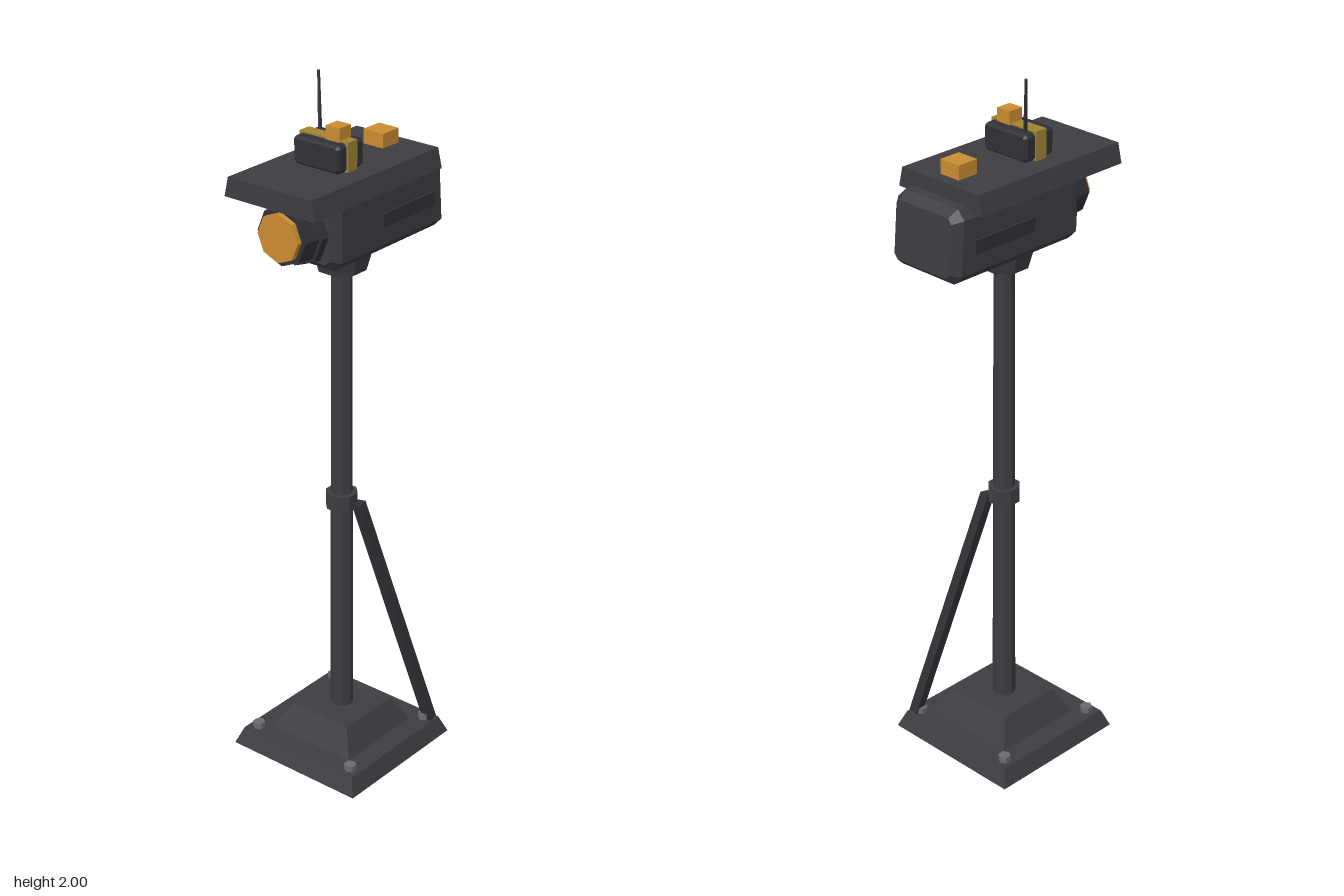
import * as THREE from 'three';

const mat = (name, color) => {
  const m = new THREE.MeshStandardMaterial({ color });
  m.name = name;
  return m;
};

export function createModel() {
  const group = new THREE.Group();
  const grey = mat('dark grey metal', 0x3d3c42);
  const dark = mat('charcoal', 0x303136);
  const steel = mat('bolt steel', 0x6a6a6d);
  const orange = mat('orange', 0xcb8c32);
  const olive = mat('olive strap', 0xa08433);
  const Z = 0.01; // mast axis

  // Adds a mesh with faceted normals
  const add = (name, geo, material, x = 0, y = 0, z = 0) => {
    const g = geo.index ? geo.toNonIndexed() : geo;
    g.computeVertexNormals();
    const mesh = new THREE.Mesh(g, material);
    mesh.name = name;
    mesh.position.set(x, y, z);
    group.add(mesh);
    return mesh;
  };
  // Upright prism between two heights
  const prism = (name, rTop, rBot, y0, y1, sides, material, turn = 0, x = 0, z = Z) =>
    add(name, new THREE.CylinderGeometry(rTop, rBot, y1 - y0, sides).rotateY(turn), material, x, (y0 + y1) / 2, z);
  // Box from its minimum and maximum corners
  const box = (name, a, b, material) =>
    add(name, new THREE.BoxGeometry(b[0] - a[0], b[1] - a[1], b[2] - a[2]), material,
      (a[0] + b[0]) / 2, (a[1] + b[1]) / 2, (a[2] + b[2]) / 2);
  // Straight rod between two points
  const rod = (name, a, b, r0, r1, sides, material) => {
    const p = new THREE.Vector3(...a), q = new THREE.Vector3(...b);
    const d = q.clone().sub(p);
    const mesh = add(name, new THREE.CylinderGeometry(r1, r0, d.length(), sides).rotateY(Math.PI / 4), material);
    mesh.position.copy(p).add(q).multiplyScalar(0.5);
    mesh.quaternion.setFromUnitVectors(new THREE.Vector3(0, 1, 0), d.normalize());
    return mesh;
  };
  // Box with all edges chamfered, centred on the origin
  const chamferBox = (w, h, d, c) => {
    const x = w / 2, y = h / 2;
    const s = new THREE.Shape([[x - c, -y], [x, -y + c], [x, y - c], [x - c, y],
      [-x + c, y], [-x, y - c], [-x, -y + c], [-x + c, -y]].map(p => new THREE.Vector2(...p)));
    return new THREE.ExtrudeGeometry(s, {
      depth: d - 2 * c, bevelThickness: c, bevelSize: c * 0.8, bevelOffset: -c * 0.8, bevelSegments: 1,
    }).translate(0, 0, -d / 2 + c);
  };

  // Stepped square base with corner bolts
  const q = Math.SQRT2;
  prism('basePlate', 0.2 * q, 0.22 * q, 0, 0.05, 4, grey, Math.PI / 4);
  prism('basePlinth', 0.1 * q, 0.14 * q, 0.05, 0.125, 4, grey, Math.PI / 4);
  for (const sx of [-1, 1]) for (const sz of [-1, 1])
    prism('baseBolt', 0.018, 0.018, 0.05, 0.068, 6, steel, 0, sx * 0.17, Z + sz * 0.17);

  // Mast, clamp collar and diagonal brace
  prism('mast', 0.028, 0.033, 0.12, 1.49, 8, grey);
  prism('mastCollar', 0.046, 0.046, 0.765, 0.81, 8, grey, Math.PI / 8);
  rod('brace', [0.183, 0.05, -0.17], [0.04, 0.775, -0.015], 0.02, 0.02, 4, dark);
  prism('neck', 0.088, 0.068, 1.475, 1.545, 8, grey, Math.PI / 8);

  // Chamfered housing with a raked rear face
  const housing = chamferBox(0.24, 0.2, 0.47, 0.025);
  const pos = housing.attributes.position;
  for (let i = 0; i < pos.count; i++)
    if (pos.getZ(i) < 0) pos.setZ(i, pos.getZ(i) + (pos.getY(i) + 0.1) * 0.08);
  add('housing', housing, grey, 0, 1.635, -0.055);
  for (const s of [-1, 1])
    add('sidePanel', new THREE.BoxGeometry(0.016, 0.038, 0.215), dark, s * 0.12, 1.631, -0.112);

  // Lens barrel and lens
  const disc = (name, rFront, rBack, z0, z1, material) =>
    add(name, new THREE.CylinderGeometry(rFront, rBack, z1 - z0, 8).rotateX(Math.PI / 2), material, 0, 1.633, (z0 + z1) / 2);
  disc('lensFlange', 0.093, 0.1, 0.17, 0.2, dark);
  disc('lensBarrel', 0.08, 0.085, 0.2, 0.25, dark);
  disc('lens', 0.067, 0.067, 0.245, 0.265, orange);

  // Overhanging roof with sloped sides
  const roof = new THREE.Shape([[-0.15, 0], [0.15, 0], [0.137, 0.055], [-0.137, 0.055]].map(p => new THREE.Vector2(...p)));
  add('roof', new THREE.ExtrudeGeometry(roof, { depth: 0.515, bevelEnabled: false }), grey, 0, 1.72, -0.22);
  box('rearBeacon', [-0.033, 1.772, -0.185], [0.033, 1.815, -0.12], orange);

  // Strapped transmitter box, beacon and aerial
  add('transmitter', chamferBox(0.152, 0.075, 0.105, 0.008), dark, 0, 1.813, 0.063);
  box('strap', [-0.08, 1.775, 0.045], [0.08, 1.855, 0.083], olive);
  box('topBeacon', [0.01, 1.85, 0.04], [0.055, 1.888, 0.086], orange);
  rod('aerial', [-0.05, 1.845, 0.036], [-0.071, 2, 0.016], 0.006, 0.004, 6, dark);

  return group;
}
